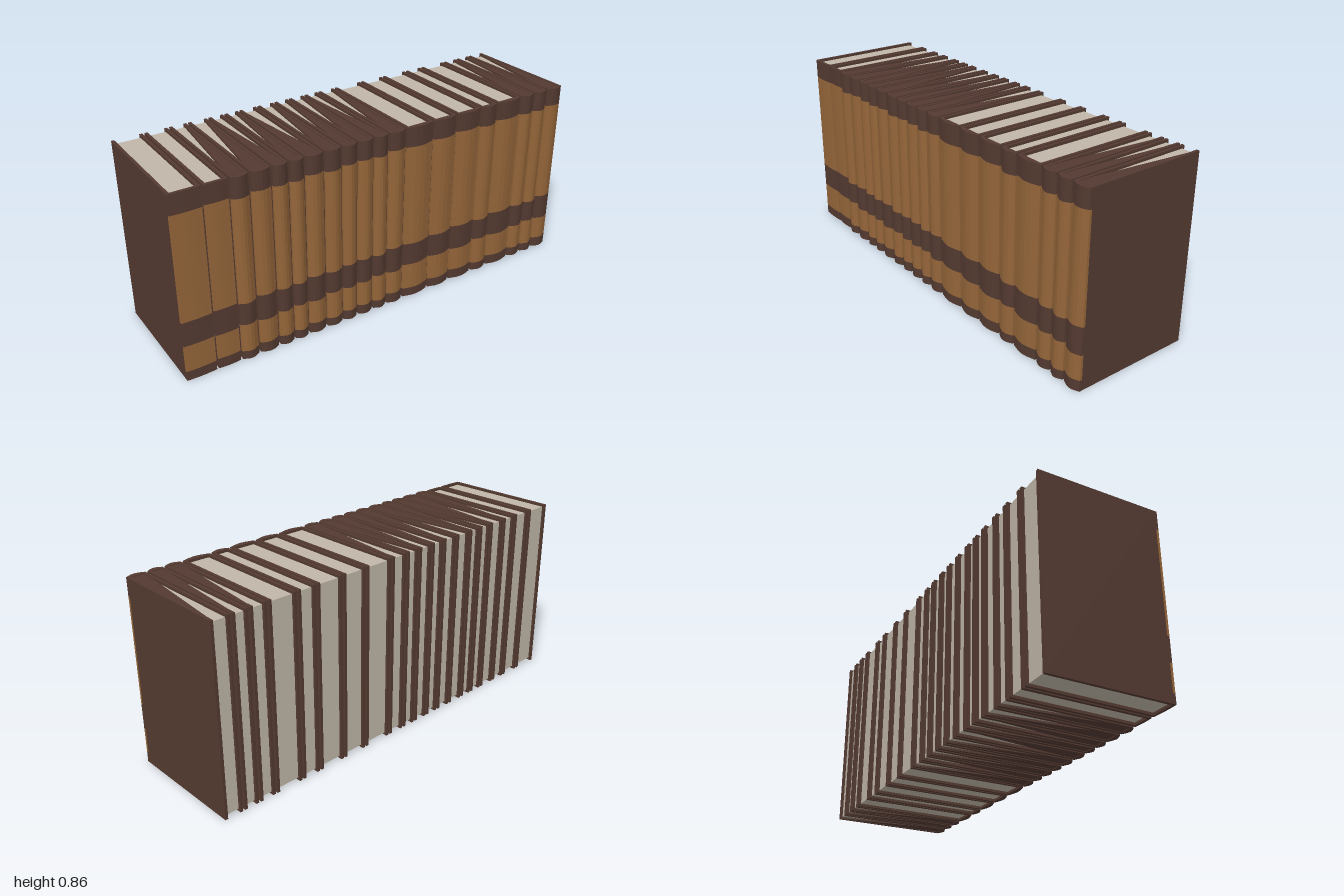
import * as THREE from 'three';

const HEIGHT = 0.86, BACK = -0.293, HINGE = 0.266;
const BOARD = 0.013, INSET = 0.012, GAP = 0.005;

// Centre of each gap between neighbouring books, from end to end
const GAPS = [-1, -0.861, -0.75, -0.663, -0.567, -0.49, -0.417, -0.326, -0.24, -0.163, -0.081,
  -0.005, 0.086, 0.235, 0.364, 0.503, 0.6, 0.743, 0.829, 0.909, 1];
// Folded cover flaps per book: R or L is the side the point leans to, - means none
const FLAPS = '--RRLRLRRRLR-----RRR';

function material(name, color) {
  const m = new THREE.MeshStandardMaterial({ color });
  m.name = name;
  return m;
}

// Upright prism from a plan outline of [x, z] points
function prism(points, y0, y1) {
  const shape = new THREE.Shape(points.map(([x, z]) => new THREE.Vector2(x, -z)));
  const g = new THREE.ExtrudeGeometry(shape, { depth: y1 - y0, bevelEnabled: false });
  return g.rotateX(-Math.PI / 2).translate(0, y0, 0);
}

export function createModel() {
  const leather = material('dark leather', 0x533a31);
  const tan = material('tan leather', 0x946539);
  const paper = material('paper', 0xbfb5a7);
  const model = new THREE.Group();
  model.name = 'bookRow';

  const add = (parent, name, geometry, mat) => {
    const mesh = new THREE.Mesh(geometry, mat);
    mesh.name = name;
    parent.add(mesh);
  };

  for (let i = 0; i < GAPS.length - 1; i++) {
    const left = GAPS[i] + (i === 0 ? 0 : GAP);
    const right = GAPS[i + 1] - (i === GAPS.length - 2 ? 0 : GAP);
    const w = right - left;
    const book = new THREE.Group();
    book.name = `book${i + 1}`;
    model.add(book);

    // Cover boards
    for (const [name, x] of [['rightBoard', left + BOARD / 2], ['leftBoard', right - BOARD / 2]]) {
      const g = new THREE.BoxGeometry(BOARD, HEIGHT, HINGE - BACK);
      add(book, name, g.translate(x, HEIGHT / 2, (HINGE + BACK) / 2), leather);
    }

    // Page block, set in slightly from the covers
    const pages = new THREE.BoxGeometry(w - 2 * BOARD, HEIGHT - 2 * INSET, HINGE - BACK - INSET);
    add(book, 'pages', pages.translate((left + right) / 2, HEIGHT / 2, (HINGE + BACK + INSET) / 2), paper);

    // Faceted spine, split into dark and tan bands
    const bulge = i < 2 ? 0.003 : 0.015;
    const outline = [[left, HINGE], [right, HINGE], [right, 0.277], [right - w * 0.3, 0.277 + bulge * 0.8],
      [left + w * 0.5, 0.277 + bulge], [left + w * 0.3, 0.277 + bulge * 0.8], [left, 0.277]];
    const wobble = 0.005 * Math.sin(i * 2.4);
    const levels = [0, 0.045 + wobble, 0.17 - wobble, 0.285 + wobble, 0.77 + wobble, HEIGHT];
    for (let b = 0; b < 5; b++) {
      add(book, b % 2 ? 'spinePanel' : 'spineBand', prism(outline, levels[b], levels[b + 1]), b % 2 ? tan : leather);
    }

    // Triangular flaps across the head and foot of the pages
    if (FLAPS[i] !== '-') {
      const tip = FLAPS[i] === 'R' ? right - BOARD : left + BOARD;
      const flap = [[left + BOARD * 0.5, HINGE], [right - BOARD * 0.5, HINGE], [tip, BACK + INSET]];
      add(book, 'headFlap', prism(flap, HEIGHT - INSET, HEIGHT - 0.003), leather);
      add(book, 'footFlap', prism(flap, 0.003, INSET), leather);
    }
  }
  return model;
}
